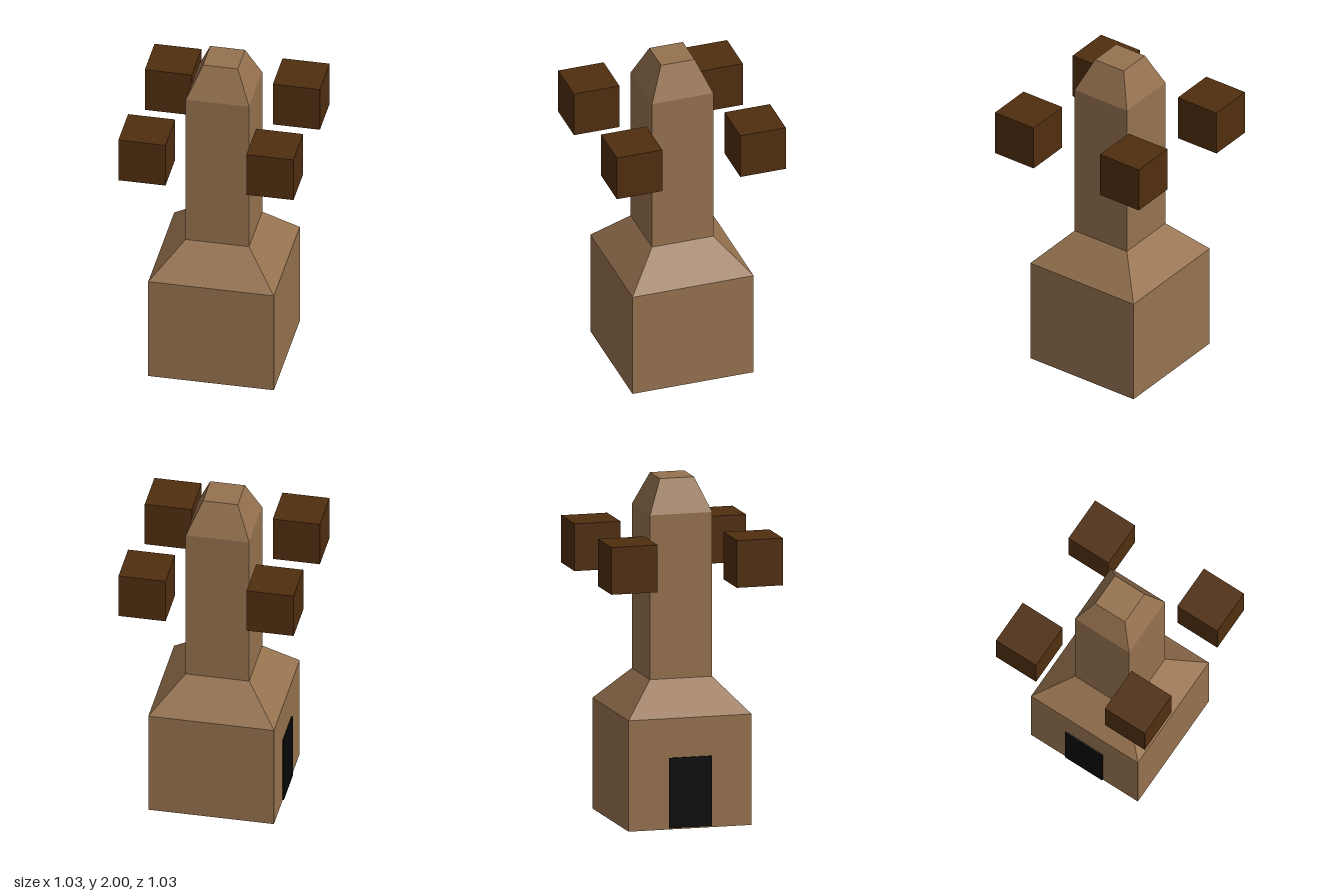
import * as THREE from 'three';

export function createModel() {
  const model = new THREE.Group();
  model.name = 'tower';

  const clay = new THREE.MeshStandardMaterial({ color: 0x96724f, flatShading: true });
  clay.name = 'clay brown';
  const darkWood = new THREE.MeshStandardMaterial({ color: 0x502e0f, flatShading: true });
  darkWood.name = 'dark brown';
  const black = new THREE.MeshStandardMaterial({ color: 0x080808 });
  black.name = 'black';

  function add(name, geometry, material, x, y, z) {
    const mesh = new THREE.Mesh(geometry, material);
    mesh.name = name;
    mesh.position.set(x, y, z);
    model.add(mesh);
  }

  // Square section between two heights, given its half widths
  function section(name, bottom, top, y0, y1) {
    const g = new THREE.CylinderGeometry(top * Math.SQRT2, bottom * Math.SQRT2, y1 - y0, 4);
    g.rotateY(Math.PI / 4);
    add(name, g, clay, 0, (y0 + y1) / 2, 0);
  }

  // Tower, from the ground up
  section('base', 0.368, 0.368, 0, 0.648);
  section('shoulder', 0.368, 0.186, 0.648, 0.845);
  section('shaft', 0.186, 0.186, 0.845, 1.805);
  section('taperedTop', 0.186, 0.102, 1.805, 2);

  // Doorway on the right side
  add('door', new THREE.BoxGeometry(0.009, 0.41, 0.255), black, -0.3725, 0.213, 0);

  // Four floating cubes around the shaft
  const cube = new THREE.BoxGeometry(0.276, 0.276, 0.276);
  for (const sx of [-1, 1]) {
    for (const sz of [-1, 1]) {
      const name = (sz > 0 ? 'front' : 'back') + (sx > 0 ? 'Left' : 'Right') + 'Cube';
      add(name, cube, darkWood, sx * 0.375, 1.557, sz * 0.375);
    }
  }

  return model;
}
